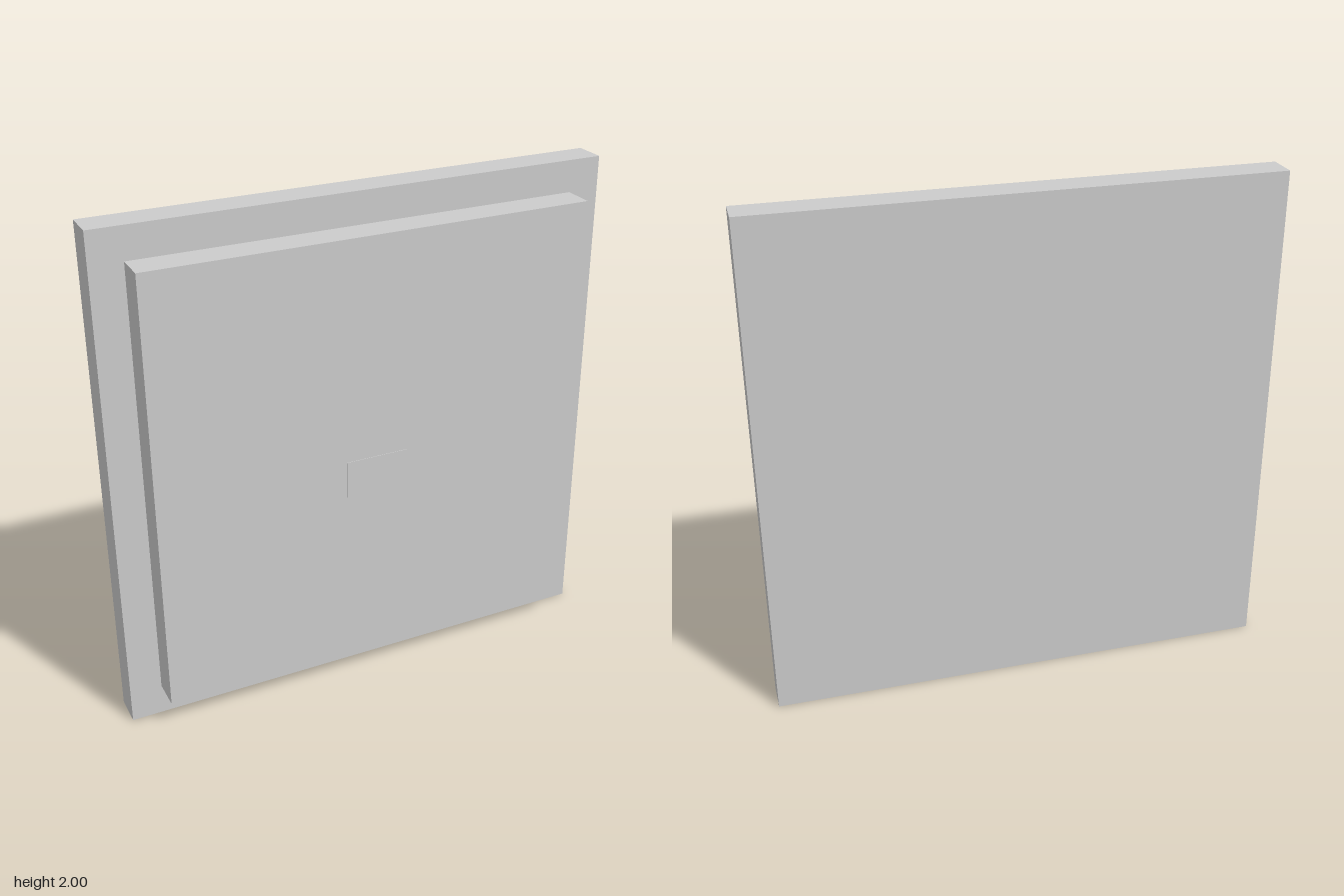
import * as THREE from 'three';

export function createModel() {
  const model = new THREE.Group();
  const material = new THREE.MeshStandardMaterial({ color: 0xcccccc, flatShading: true });

  // Box placed by its centre height and its back and front depth
  function slab(name, width, height, y, back, front) {
    const mesh = new THREE.Mesh(new THREE.BoxGeometry(width, height, front - back), material);
    mesh.name = name;
    mesh.position.set(0, y, (back + front) / 2);
    model.add(mesh);
  }

  // Square backing board
  slab('backPanel', 2, 2, 1, -0.125, 0);
  // Smaller raised board on its front
  slab('frontPanel', 1.75, 1.75, 1, 0, 0.123);
  // Paper-thin plate just below the middle of the front
  slab('frontPlate', 0.25, 0.15, 0.925, 0.12, 0.125);

  return model;
}
